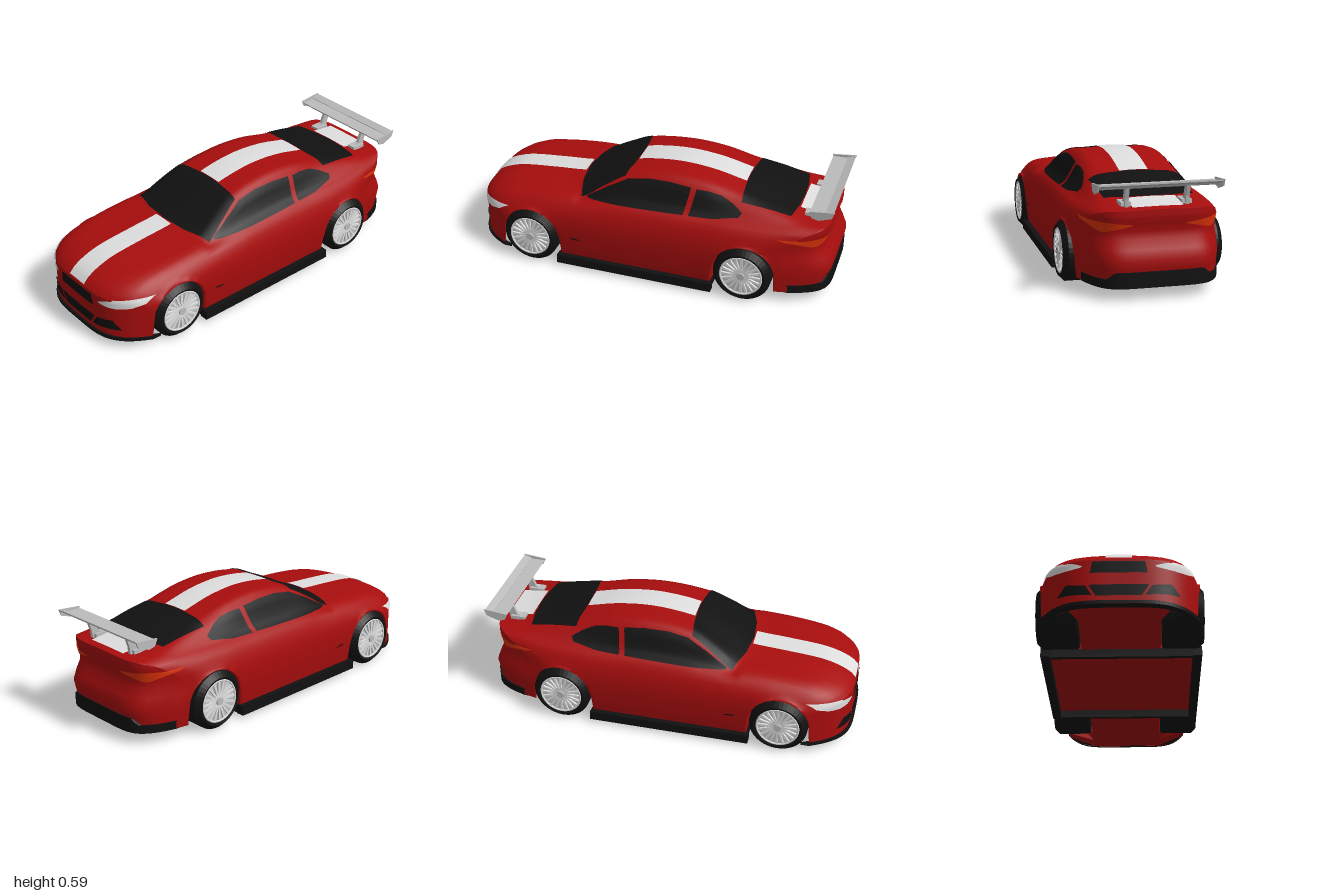
import * as THREE from 'three';
import { mergeGeometries, mergeVertices } from 'three/addons/utils/BufferGeometryUtils.js';

const paint = (name, color) => new THREE.MeshStandardMaterial({ name, color, side: THREE.DoubleSide });
const FRONT = 0.985, REAR = -0.97, FLOOR = 0.06, AXLES = [0.63, -0.557], WHEEL_R = 0.155;

// Body stations: z, top y, roof edge x/y, glass base y, shoulder y, half width
const KEYS = [
  [0.985, 0.29, 0.15, 0.288, 0.285, 0.27, 0.385],
  [0.96, 0.32, 0.16, 0.316, 0.308, 0.285, 0.387],
  [0.9, 0.355, 0.17, 0.35, 0.338, 0.305, 0.39],
  [0.8, 0.385, 0.18, 0.378, 0.365, 0.325, 0.39],
  [0.6, 0.405, 0.19, 0.397, 0.388, 0.352, 0.39],
  [0.42, 0.42, 0.2, 0.408, 0.398, 0.365, 0.39],
  [0.36, 0.44, 0.25, 0.418, 0.392, 0.368, 0.39],
  [0.25, 0.495, 0.25, 0.475, 0.412, 0.375, 0.39],
  [0.13, 0.55, 0.228, 0.535, 0.425, 0.385, 0.39],
  [-0.1, 0.584, 0.22, 0.566, 0.432, 0.39, 0.39],
  [-0.3, 0.572, 0.22, 0.553, 0.432, 0.39, 0.39],
  [-0.48, 0.532, 0.22, 0.513, 0.43, 0.39, 0.39],
  [-0.8, 0.456, 0.24, 0.446, 0.428, 0.39, 0.372],
  [-0.97, 0.435, 0.22, 0.432, 0.425, 0.395, 0.35],
];

// Smooth interpolation of one station column
function key(z, c) {
  let i = 0;
  while (i < KEYS.length - 2 && z < KEYS[i + 1][0]) i++;
  const K = (k) => KEYS[Math.min(Math.max(k, 0), KEYS.length - 1)];
  const slope = (k) => (K(k + 1)[c] - K(k - 1)[c]) / (K(k + 1)[0] - K(k - 1)[0]);
  const h = K(i + 1)[0] - K(i)[0], t = (z - K(i)[0]) / h, u = 1 - t;
  return (1 + 2 * t) * u * u * K(i)[c] + t * u * u * h * slope(i)
    + t * t * (3 - 2 * t) * K(i + 1)[c] - t * t * u * h * slope(i + 1);
}

// Bends stations so that nose and tail are rounded in plan
function bend(x, y, z) {
  const a = Math.abs(x);
  if (z > 0.45) return z - ((z - 0.45) / 0.535) ** 2 * 0.2 * (a / 0.385) ** 4;
  if (z > -0.5) return z;
  const crease = Math.max(0, 1 - Math.abs(y - 0.3) / 0.09), bumper = Math.max(0, 1 - Math.abs(y - 0.2) / 0.14);
  return z + ((-0.5 - z) / 0.47) ** 2 * (0.22 * (a / 0.35) ** 6 + 0.03 * (crease - bumper));
}

// Lower edge of the body side, raised over the wheels
function arch(z) {
  const d = Math.min(...AXLES.map((a) => Math.abs(z - a)));
  return d < 0.162 ? WHEEL_R + Math.sqrt(0.162 ** 2 - d * d) : FLOOR;
}

// Full cross-section from the right sill over the roof to the left sill
function section(z) {
  const [yt, xr, yr, yg, ys, xw] = [1, 2, 3, 4, 5, 6].map((c) => key(z, c));
  const half = [[xr * 0.5, yt - (yt - yr) * 0.3], [xr, yr], [xw * 0.77, yg], [xw - 0.036, ys],
    [xw, Math.min(0.29, ys - 0.06)], [xw, 0.15], [xw - 0.012, FLOOR]];
  const pts = [...half.map(([x, y]) => [-x, y]).reverse(), [0, yt], ...half];
  const curve = new THREE.CatmullRomCurve3(pts.map(([x, y]) => new THREE.Vector3(x, y, 0)));
  return Array.from({ length: 43 }, (_, i) => curve.getPoint(i / 42));
}

// Surface from a rule: rows i, columns j
function grid(rows, cols, fn) {
  const pos = [], idx = [];
  for (let i = 0; i <= rows; i++) for (let j = 0; j <= cols; j++) pos.push(...fn(i, j));
  for (let i = 0; i < rows; i++) for (let j = 0; j < cols; j++) {
    const a = i * (cols + 1) + j, b = a + cols + 1;
    idx.push(a, a + 1, b, a + 1, b + 1, b);
  }
  const g = new THREE.BufferGeometry();
  g.setAttribute('position', new THREE.Float32BufferAttribute(pos, 3));
  g.setIndex(idx);
  g.computeVertexNormals();
  return g;
}

export function createModel() {
  const model = new THREE.Group();
  const red = paint('red paint', 0xa80d0d), black = paint('black trim', 0x111111);
  const white = paint('white stripe', 0xdedede), silver = paint('silver metal', 0xbcbcbc);
  const orange = paint('tail light red', 0xdc3208);
  const add = (name, geo, mat, parent = model) => {
    const m = new THREE.Mesh(geo, mat);
    m.name = name;
    parent.add(m);
    return m;
  };
  const box = (name, mat, w, h, d, x, y, z) =>
    add(name, new THREE.BoxGeometry(w, h, d), mat).position.set(x, y, z);

  // Body shell with nose and tail faces
  const N = 160, zs = Array.from({ length: N + 1 }, (_, i) => FRONT + (REAR - FRONT) * i / N);
  const secs = zs.map(section);
  const onBody = (x, y, station) => {
    const z = bend(x, y, station);
    return [x, Math.max(y, arch(z)), z];
  };
  const skin = grid(N, 42, (i, j) => onBody(secs[i][j].x, secs[i][j].y, zs[i]));
  const cap = (sec, z, s) => grid(21, 30, (i, j) => onBody(sec[21 + i].x * s * (1 - j / 15), sec[21 + i].y, z));
  const bodyGeo = mergeVertices(mergeGeometries([skin, cap(secs[0], FRONT, 1), cap(secs[N], REAR, -1)]
    .map((g) => g.deleteAttribute('normal'))), 1e-5);
  bodyGeo.computeVertexNormals();
  const body = add('body', bodyGeo, red);

  // Floor and wheel wells
  const under = grid(N, 5, (i, j) => {
    const e = secs[i][42].x, x = [e, 0.2, 0.2, -0.2, -0.2, -e][j], z = bend(x, FLOOR, zs[i]);
    return [x, j === 2 || j === 3 ? FLOOR : arch(z), z];
  }).toNonIndexed();
  under.computeVertexNormals();
  add('floor', under, red);

  // Thin painted plates laid on the body between an upper and a lower outline
  const ray = new THREE.Raycaster();
  body.updateMatrixWorld();
  const views = {
    front: (a, b) => [[a, b, 2], [0, 0, -1]],
    rear: (a, b) => [[a, b, -2], [0, 0, 1]],
    top: (a, b) => [[a, 2, b], [0, -1, 0]],
    left: (a, b) => [[2, b, a], [-1, 0, 0]],
    right: (a, b) => [[-2, b, a], [1, 0, 0]],
  };
  const along = (line, t) => {
    const f = t * (line.length - 1), i = Math.min(Math.floor(f), line.length - 2), k = f - i;
    return [0, 1].map((c) => line[i][c] * (1 - k) + line[i + 1][c] * k);
  };
  function plate(name, mat, view, upper, lower, n = 12, m = 5, mirror = 1) {
    let last = [0, 0.2, 0];
    add(name, grid(m, n, (i, j) => {
      const p = along(upper, j / n), q = along(lower, j / n), v = i / m;
      const [o, d] = views[view]((p[0] + (q[0] - p[0]) * v) * mirror, p[1] + (q[1] - p[1]) * v);
      ray.set(new THREE.Vector3(...o), new THREE.Vector3(...d));
      const hit = ray.intersectObject(body)[0];
      if (hit) last = hit.point.addScaledVector(hit.face.normal, 0.005).toArray();
      return last;
    }), mat);
  }

  // Glass; the screens have bowed edges: half width, z at the side, z at the middle
  const bow = (w, side, mid) => [-1, -0.5, 0, 0.5, 1].map((t) => [w * t, mid + (side - mid) * t * t]);
  plate('windshield', black, 'top', bow(0.23, 0.13, 0.11), bow(0.295, 0.36, 0.42), 20, 10);
  plate('rearWindow', black, 'top', bow(0.225, -0.765, -0.79), bow(0.238, -0.505, -0.49), 16, 10);
  for (const side of ['left', 'right']) {
    plate(side + 'DoorWindow', black, side, [[0.33, 0.405], [0.22, 0.47], [0.11, 0.525], [0, 0.543], [-0.12, 0.545], [-0.235, 0.535]],
      [[0.32, 0.398], [-0.215, 0.412]], 20, 6);
    plate(side + 'QuarterWindow', black, side, [[-0.265, 0.53], [-0.33, 0.528], [-0.4, 0.515], [-0.46, 0.49], [-0.52, 0.455]],
      [[-0.245, 0.412], [-0.375, 0.416], [-0.505, 0.435]], 12, 6);
    plate(side + 'FenderVent', black, side, [[0.4, 0.19], [0.35, 0.185]], [[0.39, 0.18], [0.34, 0.178]], 3, 1);
  }

  // Racing stripes
  const stripe = (name, w, z0, z1, n) =>
    plate(name, white, 'top', [[-w, z0], [w, z0]], [[-w, z1], [w, z1]], 4, n);
  stripe('hoodStripe', 0.062, 0.424, 0.98, 24);
  stripe('roofStripe', 0.075, -0.488, 0.108, 20);
  stripe('trunkStripe', 0.125, -0.935, -0.793, 8);

  // Nose openings and lamps
  plate('upperGrille', black, 'front', [[-0.125, 0.277], [0.125, 0.277]], [[-0.137, 0.216], [0.137, 0.216]], 10, 4);
  plate('lowerGrille', black, 'front', [[-0.143, 0.153], [0.143, 0.153]], [[-0.108, 0.095], [0.108, 0.095]], 10, 3);
  for (const [side, s] of [['left', 1], ['right', -1]]) {
    plate(side + 'Intake', black, 'front', [[0.157, 0.15], [0.25, 0.166], [0.288, 0.115]],
      [[0.125, 0.098], [0.286, 0.113]], 12, 4, s);
    plate(side + 'Headlight', white, 'front', [[0.172, 0.256], [0.22, 0.276], [0.27, 0.29], [0.32, 0.298], [0.366, 0.302]],
      [[0.182, 0.248], [0.23, 0.242], [0.28, 0.243], [0.325, 0.252], [0.362, 0.272]], 16, 5, s);
    plate(side + 'TailLight', orange, 'rear', [[0.13, 0.365], [0.2, 0.373], [0.28, 0.38], [0.343, 0.376]],
      [[0.14, 0.358], [0.2, 0.345], [0.27, 0.325], [0.34, 0.366]], 14, 4, s);
  }

  // Bumper lips: a closed band following the end of the body
  const lip = (name, end, w, y0, y1, out) => add(name, grid(40, 4, (i, j) => {
    const x = w * (i / 20 - 1), s = Math.sign(end), z = bend(x, FLOOR, end), k = j % 4;
    return [x, k === 1 || k === 2 ? y1(Math.abs(x)) : y0, z + s * (k < 2 ? out : -0.03)];
  }).toNonIndexed(), black).geometry.computeVertexNormals();
  lip('frontSplitter', FRONT, 0.385, 0.048, () => 0.066, 0.013);
  lip('rearDiffuser', REAR, 0.345, 0.062, (x) => (x < 0.22 ? 0.14 : Math.max(0.105, 0.36 - x)), 0.025);

  // Sill frame under the doors
  for (const s of [1, -1]) box('sideSkirt', black, 0.045, 0.05, 0.87, s * 0.387, 0.044, 0.04);
  box('frontCrossbar', black, 0.74, 0.045, 0.025, 0, 0.04, 0.455);
  box('rearCrossbar', black, 0.74, 0.045, 0.025, 0, 0.04, -0.375);

  // Wheels, built around y and turned to face sideways
  const tire = new THREE.LatheGeometry([[0, 0.205], [0.145, 0.205], [0.155, 0.215], [0.155, 0.385], [0.128, 0.412],
    [0.116, 0.408], [0.113, 0.39], [0, 0.39]].map(([r, h]) => new THREE.Vector2(r, h)), 40).toNonIndexed();
  tire.computeVertexNormals();
  for (const z of AXLES) for (const s of [1, -1]) {
    const wheel = new THREE.Group();
    wheel.name = z > 0 ? 'frontWheel' : 'rearWheel';
    wheel.position.set(0, WHEEL_R, z);
    wheel.rotation.z = -s * Math.PI / 2;
    model.add(wheel);
    add('tire', tire, black, wheel);
    add('rimDisc', new THREE.CylinderGeometry(0.112, 0.112, 0.01, 40), silver, wheel).position.y = 0.39;
    const ring = add('rimRing', new THREE.TorusGeometry(0.11, 0.006, 6, 40), white, wheel);
    ring.rotation.x = Math.PI / 2;
    ring.position.y = 0.404;
    for (let i = 0; i < 20; i++) {
      const a = i * Math.PI / 10, spoke = add('spoke', new THREE.BoxGeometry(0.09, 0.012, 0.011), white, wheel);
      spoke.position.set(Math.cos(a) * 0.062, 0.4, -Math.sin(a) * 0.062);
      spoke.rotation.y = a;
    }
    add('hub', new THREE.CylinderGeometry(0.02, 0.024, 0.02, 20), silver, wheel).position.y = 0.403;
  }

  // Rear wing: side profiles (z, y) extruded across
  const across = (name, profile, width, x) => {
    const g = new THREE.ExtrudeGeometry(new THREE.Shape(profile.map(([z, y]) => new THREE.Vector2(-z, y))),
      { depth: width, bevelEnabled: false });
    g.rotateY(Math.PI / 2).translate(x - width / 2, 0, 0);
    add(name, g, silver);
  };
  across('wingPlane', [[-0.872, 0.548], [-0.955, 0.55], [-0.95, 0.54], [-0.91, 0.527], [-0.885, 0.532]], 0.6, 0);
  across('wingFlap', [[-0.95, 0.554], [-0.993, 0.568], [-0.993, 0.56], [-0.955, 0.544]], 0.6, 0);
  for (const s of [1, -1]) {
    across('wingEndPlate', [[-0.868, 0.556], [-0.998, 0.57], [-0.985, 0.535], [-0.92, 0.512], [-0.885, 0.52]], 0.008, s * 0.305);
    across('wingStrut', [[-0.84, 0.455], [-0.875, 0.47], [-0.9, 0.535], [-0.94, 0.54], [-0.92, 0.48], [-0.915, 0.44], [-0.84, 0.44]], 0.018, s * 0.15);
    box('wingFoot', silver, 0.05, 0.02, 0.08, s * 0.15, 0.452, -0.865);
  }
  return model;
}
